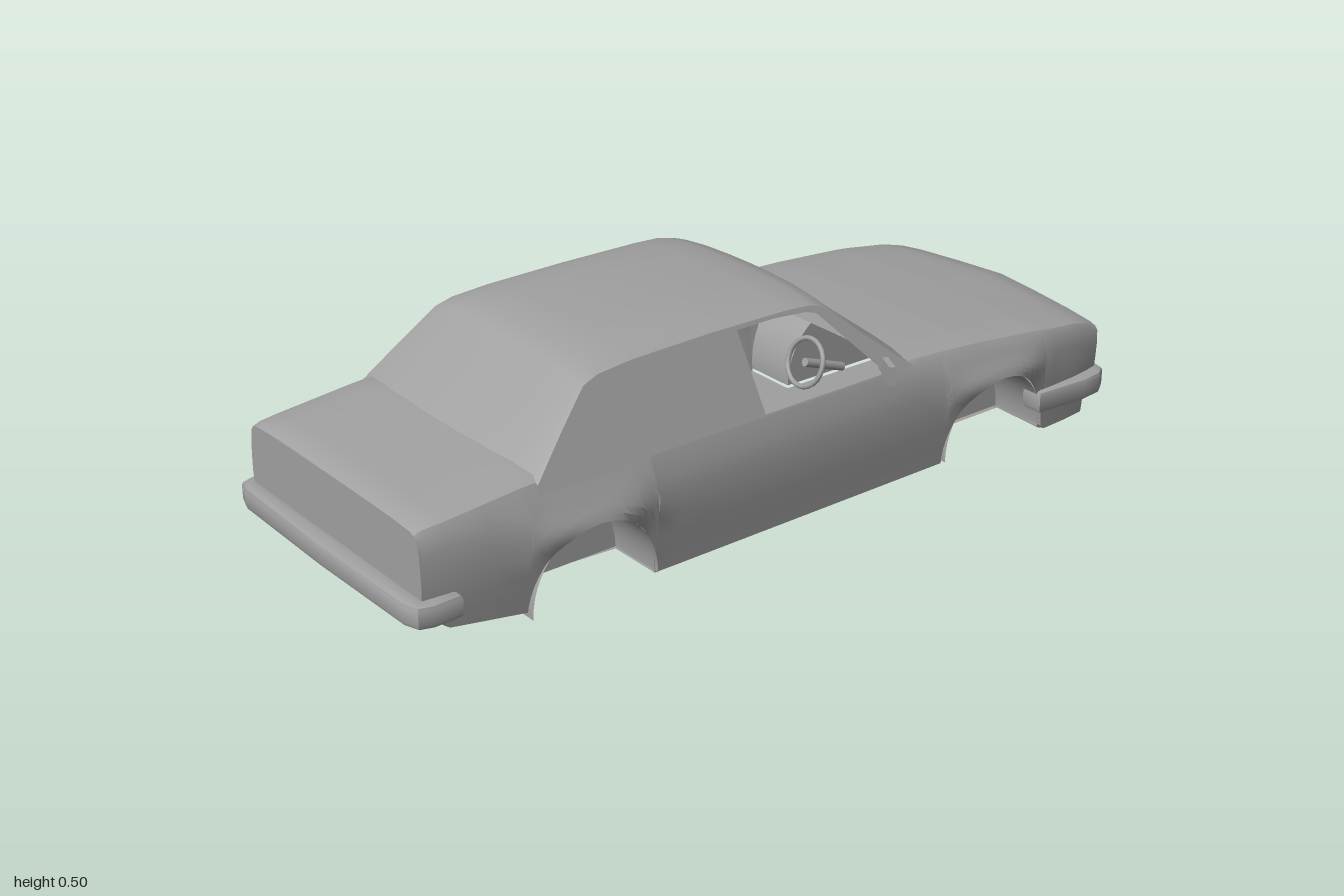
import * as THREE from 'three';
import { toCreasedNormals } from 'three/addons/utils/BufferGeometryUtils.js';

const paint = new THREE.MeshStandardMaterial({ color: 0xa0a0a0, side: THREE.DoubleSide });
paint.name = 'grey paint';

// Piecewise-linear lookup in a short table of [x, value]
function tab(t, x) {
  if (x <= t[0][0]) return t[0][1];
  for (let i = 1; i < t.length; i++) {
    if (x <= t[i][0]) {
      const k = (x - t[i - 1][0]) / (t[i][0] - t[i - 1][0]);
      return t[i - 1][1] + (t[i][1] - t[i - 1][1]) * k;
    }
  }
  return t[t.length - 1][1];
}

// Skin a grid of rows of [x, y, z]; keep(i, j) may drop cells
function skin(rows, crease, keep = () => true) {
  const n = rows[0].length, index = [];
  for (let i = 0; i < rows.length - 1; i++) {
    for (let j = 0; j < n - 1; j++) {
      if (!keep(i, j)) continue;
      const a = i * n + j, b = a + n;
      index.push(a, b, a + 1, b, b + 1, a + 1);
    }
  }
  const g = new THREE.BufferGeometry();
  g.setAttribute('position', new THREE.Float32BufferAttribute(rows.flat(2), 3));
  g.setIndex(index);
  return toCreasedNormals(g, crease);
}

function part(group, name, geometry) {
  const m = new THREE.Mesh(geometry, paint);
  m.name = name;
  group.add(m);
  return m;
}

// Wheel arches
const ARCHES = [-0.563, 0.575], RX = 0.157, RY = 0.175, CY = 0.02, WELL = 0.2;
const inArch = x => ARCHES.find(c => Math.abs(x - c) < RX - 1e-4);

// Lower body outlines along the length
const SILL = [[-0.96, 0.075], [-0.9, 0.06], [-0.72, 0.03], [-0.4, 0.014], [0.73, 0.012], [0.76, 0], [0.93, 0]];
const TOP = [[-0.962, 0.285], [-0.945, 0.296], [-0.9, 0.301], [-0.69, 0.325], [-0.62, 0.325], [0.27, 0.305],
  [0.35, 0.304], [0.5, 0.298], [0.7, 0.28], [0.84, 0.26], [0.895, 0.246], [0.925, 0.225]];
const BELT = [[-0.962, 0.268], [-0.72, 0.285], [0.33, 0.285], [0.5, 0.272], [0.7, 0.255], [0.84, 0.236], [0.925, 0.208]];
const WIDTH = [[-0.962, 0.332], [-0.9, 0.338], [-0.7, 0.346], [-0.4, 0.353], [0.4, 0.352], [0.75, 0.354], [0.87, 0.347], [0.925, 0.335]];
const SIDE = [[0, 0.945], [0.06, 0.965], [0.12, 0.99], [0.18, 1], [0.25, 0.985], [0.285, 0.95]];

function sideZ(x, y) {
  let z = tab(WIDTH, x) * tab(SIDE, y);
  for (const c of ARCHES) {
    z += 0.021 * Math.exp(-Math.pow(Math.abs(x - c) / 0.15, 4)) * Math.exp(-Math.pow((y - 0.195) / 0.04, 2));
  }
  return z;
}

// Pointed nose, tucked valance and tail
function place(x, y, z) {
  const k = THREE.MathUtils.smoothstep(x, 0.6, 0.92);
  let px = x + 0.047 * k * (1 - Math.abs(z) / 0.34);
  if (x > 0.9 && y < 0.08) px -= 0.025;
  if (x < -0.93 && y < 0.1) px += 0.03;
  return [px, y, z];
}

function lowerBody() {
  const xs = [-0.962, -0.945, -0.9, -0.8, -0.69, -0.62, -0.35, -0.2, 0, 0.2, 0.27, 0.34, 0.4, 0.76, 0.8, 0.84, 0.895, 0.925]
    .filter(x => inArch(x) === undefined);
  for (const c of ARCHES) for (let i = 0; i <= 18; i++) xs.push(c - RX * Math.cos(Math.PI * i / 18));
  xs.sort((a, b) => a - b);
  const section = (x, squash) => {
    const sill = tab(SILL, x), c = inArch(x), belt = tab(BELT, x), top = tab(TOP, x);
    const low = c === undefined ? sill : Math.max(sill, CY + RY * Math.sqrt(1 - ((x - c) / RX) ** 2));
    const half = [[0, sill], [WELL, sill]];
    for (let i = 0; i <= 6; i++) {
      const y = low + (belt - low) * i / 6;
      half.push([sideZ(x, y), y]);
    }
    const zb = sideZ(x, belt), rise = top - belt;
    half.push([zb * 0.975, belt + rise * 0.5], [zb * 0.92, belt + rise * 0.75], [zb * 0.75, belt + rise * 0.92],
      [zb * 0.4, top], [0, top]);
    const mirrored = half.slice(0, -1).reverse().map(([z, y]) => [-z, y]);
    return half.concat(mirrored).map(([z, y]) => place(x, y, z * squash));
  };
  const rows = xs.map(x => section(x, 1));
  const last = xs[xs.length - 1];
  rows.unshift(section(xs[0], 0));
  rows.push(section(last, 0));
  const sx = [xs[0], ...xs, last], n = 13;
  // Leave the cabin open on top and the wheel wells open below
  return skin(rows, 0.6, (i, j) => {
    const s = j < n ? j : 2 * n - 1 - j, mid = (sx[i] + sx[i + 1]) / 2;
    if (s === 1) return inArch(mid) === undefined;
    return s < 8 || mid < -0.62 || mid > 0.27;
  });
}

// Cabin: centre x, centre y, drop at the edge, backward bow at the edge
const CABIN = [
  [0.35, 0.302, 0.012, 0.04], [0.23, 0.392, 0.012, 0.033], [0.125, 0.473, 0.014, 0.02], [0.08, 0.486, 0.018, 0.01],
  [0, 0.494, 0.022, 0], [-0.2, 0.498, 0.024, 0], [-0.4, 0.493, 0.022, 0], [-0.49, 0.484, 0.02, 0],
  [-0.53, 0.467, 0.016, 0], [-0.61, 0.395, 0.014, -0.005], [-0.7, 0.322, 0.02, -0.015]];
const cabinZ = y => 0.335 - (y - 0.285) * 0.39;

function roof() {
  const us = [-1, -0.97, -0.9, -0.78, -0.55, -0.25, 0, 0.25, 0.55, 0.78, 0.9, 0.97, 1];
  const rows = CABIN.map(([x, y, drop, bow]) => us.map(u =>
    [x - bow * u * u, y - drop * Math.pow(Math.abs(u), 5), u * cabinZ(y - drop)]));
  return skin(rows, 0.6);
}

// Sloping cabin side with the open front window
function cabinSide(s) {
  const edge = CABIN.map(([x, y, drop, bow]) => new THREE.Vector2(x - bow, y - drop));
  const shape = new THREE.Shape([...edge, new THREE.Vector2(-0.69, 0.284), new THREE.Vector2(0.32, 0.284)]);
  shape.holes.push(new THREE.Path([[-0.13, 0.464], [-0.03, 0.464], [0.06, 0.457], [0.086, 0.448],
    [0.238, 0.288], [-0.107, 0.288]].map(p => new THREE.Vector2(...p))));
  const g = new THREE.ShapeGeometry(shape);
  const p = g.attributes.position;
  for (let i = 0; i < p.count; i++) p.setZ(i, s * cabinZ(p.getY(i)));
  if (s < 0) g.setIndex(Array.from(g.index.array).reverse());
  g.computeVertexNormals();
  return g;
}

// Wrap-round bumper from half of its outer plan line [x, z], ordered from end to centre
function bumper(outer, inset, y, height) {
  const bevel = 0.01;
  const line = outer.map(([x, z]) => [x - Math.sign(x) * bevel, z - (z > 0 ? bevel : 0)]);
  const full = [...line, ...line.slice(0, -1).reverse().map(([x, z]) => [x, -z])];
  const inner = full.map(([x, z], i) => {
    const end = i === 0 || i === full.length - 1;
    return [x - (end ? 0 : Math.sign(x) * inset), z - Math.sign(z) * inset];
  }).reverse();
  const shape = new THREE.Shape([...full, ...inner].map(([x, z]) => new THREE.Vector2(x, -z)));
  const g = new THREE.ExtrudeGeometry(shape, {
    depth: height - 2 * bevel, bevelSize: bevel, bevelThickness: bevel, bevelSegments: 2 });
  g.rotateX(-Math.PI / 2);
  g.translate(0, y + bevel, 0);
  return toCreasedNormals(g, 0.6);
}

export function createModel() {
  const car = new THREE.Group();
  car.name = 'carBody';
  part(car, 'lowerBody', lowerBody());
  part(car, 'roofAndScreens', roof());
  part(car, 'frontBumper', bumper([[0.73, 0.362], [0.86, 0.372], [0.915, 0.367], [0.94, 0.35], [0.958, 0.28],
    [0.985, 0.13], [1, 0]], 0.035, 0.06, 0.055));
  part(car, 'rearBumper', bumper([[-0.905, 0.356], [-0.96, 0.358], [-0.985, 0.35], [-0.995, 0.32], [-1, 0]], 0.03, 0.09, 0.052));

  for (const s of [1, -1]) {
    part(car, 'cabinSide', cabinSide(s));
    // Door mirror and its arm
    const mirror = part(car, 'doorMirror', new THREE.BoxGeometry(0.014, 0.044, 0.056));
    mirror.position.set(0.212, 0.31, s * 0.368);
    mirror.rotation.y = -s * 0.45;
    const arm = part(car, 'mirrorArm', new THREE.BoxGeometry(0.014, 0.022, 0.04));
    arm.position.set(0.234, 0.301, s * 0.332);
    arm.rotation.y = -s * 0.45;
    // Wheel wells
    for (const c of ARCHES) {
      const tunnel = new THREE.CylinderGeometry(1, 1, 0.148, 24, 1, true, Math.PI / 2, Math.PI);
      tunnel.rotateX(Math.PI / 2);
      tunnel.scale(RX, RY, 1);
      part(car, 'wheelWell', tunnel).position.set(c, CY, s * (WELL + 0.074));
      const wall = new THREE.CircleGeometry(1, 24, 0, Math.PI);
      wall.scale(RX, RY, 1);
      part(car, 'wheelWellWall', wall).position.set(c, CY, s * WELL);
    }
  }

  // Steering wheel and column
  const wheel = part(car, 'steeringWheel', new THREE.TorusGeometry(0.055, 0.006, 8, 24));
  wheel.position.set(0.155, 0.277, 0.16);
  wheel.rotation.set(0, Math.PI / 2, 0.35, 'ZYX');
  wheel.rotation.z = -0.35;
  const column = part(car, 'steeringColumn', new THREE.CylinderGeometry(0.01, 0.01, 0.12, 10));
  column.position.set(0.21, 0.257, 0.16);
  column.rotation.z = Math.PI / 2 - 0.35;
  return car;
}
